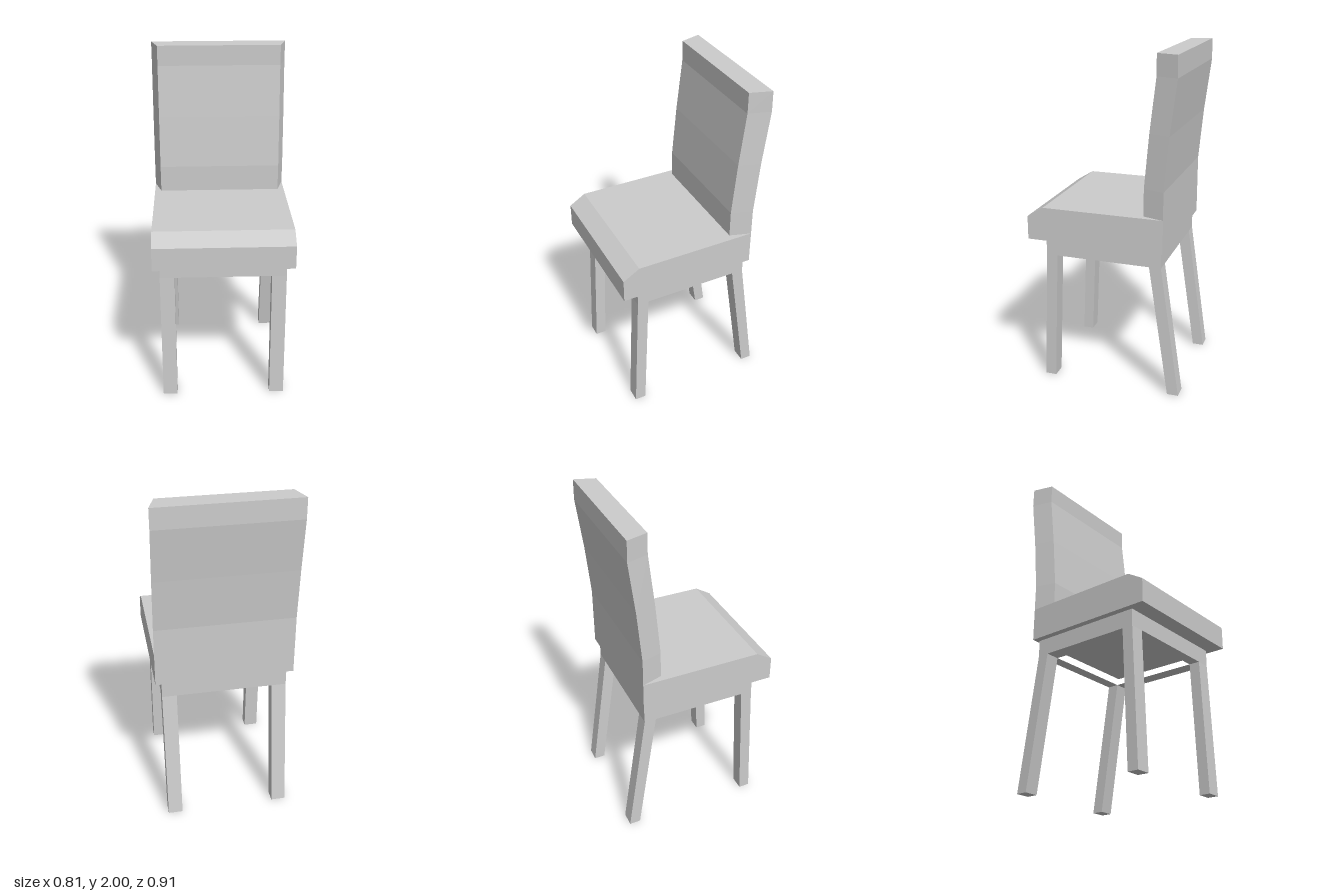
import * as THREE from 'three';

const material = new THREE.MeshStandardMaterial({ color: 0xcccccc, flatShading: true });

function addMesh(group, name, geometry) {
  const mesh = new THREE.Mesh(geometry, material);
  mesh.name = name;
  group.add(mesh);
}

// Extrude a side profile of [z, y] points along x, centred on x = 0
function sideProfile(points, width) {
  const shape = new THREE.Shape(points.map(([z, y]) => new THREE.Vector2(z, y)));
  return new THREE.ExtrudeGeometry(shape, { depth: width, bevelEnabled: false })
    .translate(0, 0, -width / 2)
    .rotateY(-Math.PI / 2);
}

// Gently reclined backrest, narrower at its front face than at its rear
function backrestGeometry() {
  const rows = [ // y, front z, rear z
    [1.1, -0.235, -0.358],
    [1.26, -0.235, -0.358],
    [1.57, -0.263, -0.386],
    [1.88, -0.299, -0.425],
    [2, -0.299, -0.423],
  ];
  const geometry = new THREE.BoxGeometry(2, 1, 1, 1, rows.length - 1, 1);
  const p = geometry.attributes.position;
  for (let i = 0; i < p.count; i++) {
    const [y, front, rear] = rows[Math.round((p.getY(i) + 0.5) * (rows.length - 1))];
    const isFront = p.getZ(i) > 0;
    p.setXYZ(i, p.getX(i) * (isFront ? 0.368 : 0.407), y, isFront ? front : rear);
  }
  const flat = geometry.toNonIndexed();
  flat.computeVertexNormals();
  return flat;
}

// Rectangular frame under the seat, open in the middle
function apronGeometry() {
  const rectangle = (x, back, front) => [[-x, back], [x, back], [x, front], [-x, front]]
    .map(([px, z]) => new THREE.Vector2(px, -z));
  const shape = new THREE.Shape(rectangle(0.37, -0.34, 0.358));
  shape.holes.push(new THREE.Path(rectangle(0.284, -0.27, 0.291)));
  return new THREE.ExtrudeGeometry(shape, { depth: 0.1, bevelEnabled: false })
    .rotateX(-Math.PI / 2)
    .translate(0, 0.8, 0);
}

export function createModel() {
  const chair = new THREE.Group();
  chair.name = 'chair';

  // Thick seat with a sloped front edge
  addMesh(chair, 'seat', sideProfile(
    [[-0.358, 0.9], [0.457, 0.9], [0.457, 1.04], [0.36, 1.1], [-0.358, 1.1]], 0.814));
  addMesh(chair, 'backrest', backrestGeometry());
  addMesh(chair, 'apron', apronGeometry());

  // Splayed legs, mirrored left and right
  const legProfiles = {
    FrontLeg: [[0.324, 0], [0.39, 0], [0.358, 0.8], [0.291, 0.8]],
    BackLeg: [[-0.457, 0], [-0.39, 0], [-0.27, 0.8], [-0.34, 0.8]],
  };
  for (const [name, profile] of Object.entries(legProfiles)) {
    for (const side of [1, -1]) {
      const leg = sideProfile(profile, 0.086).translate(side * 0.327, 0, 0);
      addMesh(chair, (side > 0 ? 'left' : 'right') + name, leg);
    }
  }
  return chair;
}
